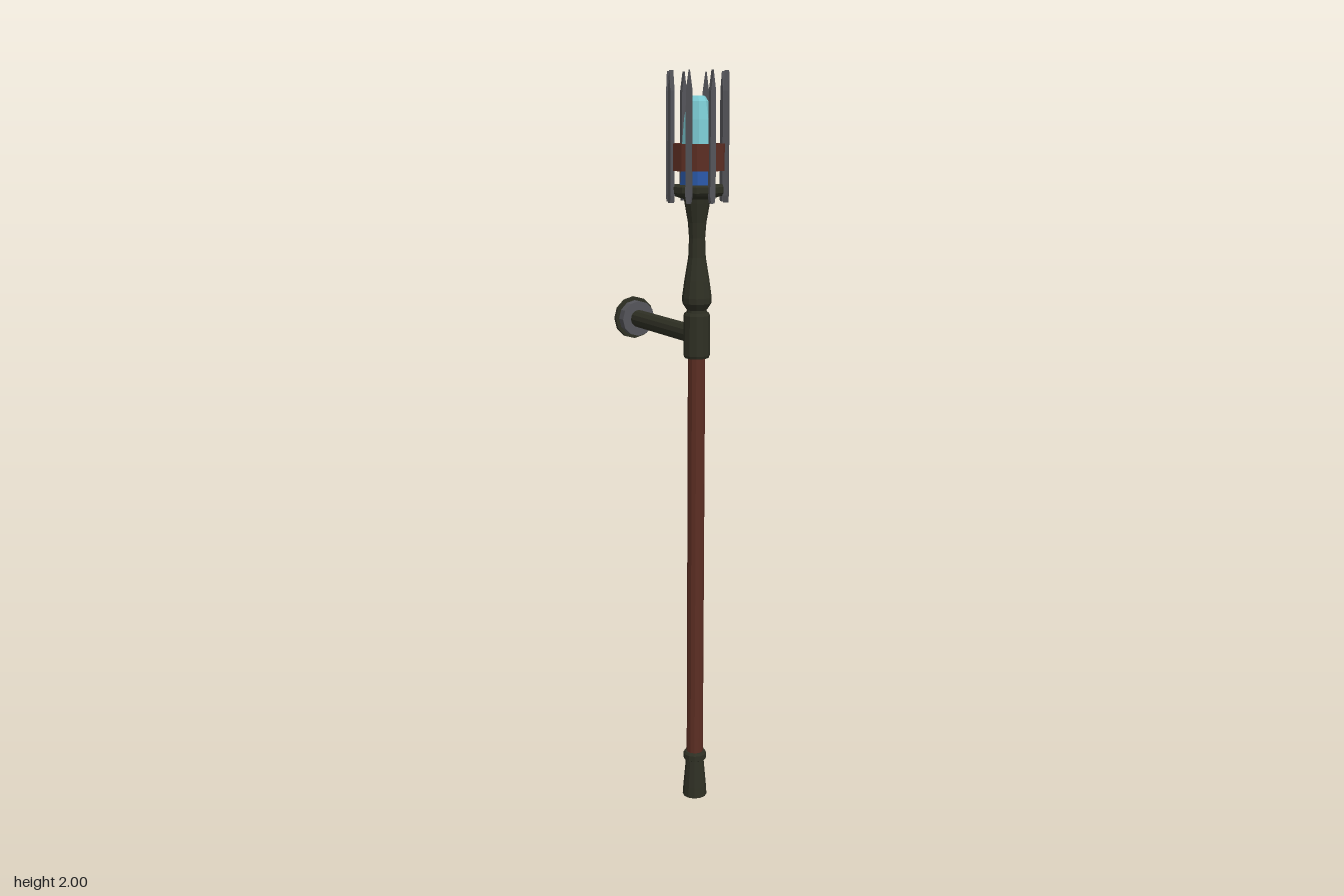
import * as THREE from 'three';

const paint = (name, color, extra = {}) =>
  Object.assign(new THREE.MeshStandardMaterial({ color, flatShading: true, ...extra }), { name });

export function createModel() {
  const iron = paint('dark iron', 0x2f3024);
  const steel = paint('grey steel', 0x55555a);
  const wood = paint('red brown wood', 0x5c2e23, { side: THREE.DoubleSide });
  const ice = paint('pale crystal', 0x7cccd4);
  const blue = paint('deep blue', 0x2a58a8);

  const model = new THREE.Group();
  model.name = 'wallTorch';
  const torch = new THREE.Group();
  torch.name = 'torch';
  torch.position.z = 0.148;
  model.add(torch);

  const add = (parent, name, geometry, material) => {
    const mesh = new THREE.Mesh(geometry, material);
    mesh.name = name;
    parent.add(mesh);
    return mesh;
  };
  // Faceted turned part from [radius, height] pairs, bottom to top
  const turned = (name, points, material, sides = 12, parent = torch) =>
    add(parent, name, new THREE.LatheGeometry(points.map(p => new THREE.Vector2(...p)), sides), material);

  // Shaft with its foot and joint collar
  turned('shaft', [[0.023, 0.1], [0.023, 1.3]], wood);
  turned('foot', [[0, 0], [0.034, 0], [0.032, 0.03], [0.025, 0.108], [0.032, 0.112],
    [0.032, 0.128], [0.028, 0.134], [0, 0.134]], iron);
  turned('jointCollar', [[0, 1.265], [0.032, 1.265], [0.035, 1.272], [0.035, 1.378],
    [0.032, 1.385], [0, 1.385]], iron);

  // Waisted neck flaring into the cup
  turned('neck', [[0.028, 1.38], [0.026, 1.392], [0.038, 1.41], [0.039, 1.425], [0.033, 1.47],
    [0.023, 1.53], [0.021, 1.58], [0.024, 1.62], [0.033, 1.67], [0.036, 1.69]], iron);
  turned('cup', [[0, 1.68], [0.036, 1.68], [0.07, 1.69], [0.075, 1.697], [0.075, 1.712],
    [0.07, 1.716], [0, 1.716]], iron);

  // Wooden band around the crown
  turned('crownBand', [[0.074, 1.752], [0.077, 1.752], [0.077, 1.82], [0.074, 1.82], [0.074, 1.752]], wood);

  // Crystal: blue root and pale octagonal body
  const root = turned('crystalRoot', [[0, 1.71], [0.045, 1.715], [0.043, 1.752], [0.036, 1.765], [0, 1.765]], blue, 9);
  root.rotation.y = 0.2;
  const crystal = turned('crystal', [[0.036, 1.755], [0.041, 1.8], [0.035, 1.88], [0.027, 1.925],
    [0.019, 1.938], [0, 1.938]], ice, 8);
  crystal.rotation.y = Math.PI / 8;

  // Eight pointed bars around the crown
  const outline = new THREE.Shape([[-0.005, 1.672], [0.005, 1.672], [0.008, 1.69], [0.007, 1.95],
    [0, 2], [-0.007, 1.95], [-0.008, 1.69]].map(p => new THREE.Vector2(...p)));
  const barGeometry = new THREE.ExtrudeGeometry(outline, { depth: 0.012, bevelEnabled: false });
  barGeometry.translate(0, 0, 0.07);
  for (let i = 0; i < 8; i++)
    add(torch, 'crownBar', barGeometry, steel).rotation.y = i * Math.PI / 4;

  // Bracket: arm, raised ring and wall plate, turned to point backwards
  const bracket = new THREE.Group();
  bracket.name = 'bracket';
  bracket.position.y = 1.325;
  bracket.rotation.x = -Math.PI / 2;
  model.add(bracket);
  turned('arm', [[0.025, -0.13], [0.025, 0.2]], iron, 12, bracket);
  turned('plateRing', [[0, 0.195], [0.05, 0.195], [0.05, 0.222], [0, 0.222]], steel, 12, bracket);
  turned('wallPlate', [[0, 0.221], [0.06, 0.221], [0.06, 0.232], [0, 0.232]], iron, 12, bracket);

  return model;
}
